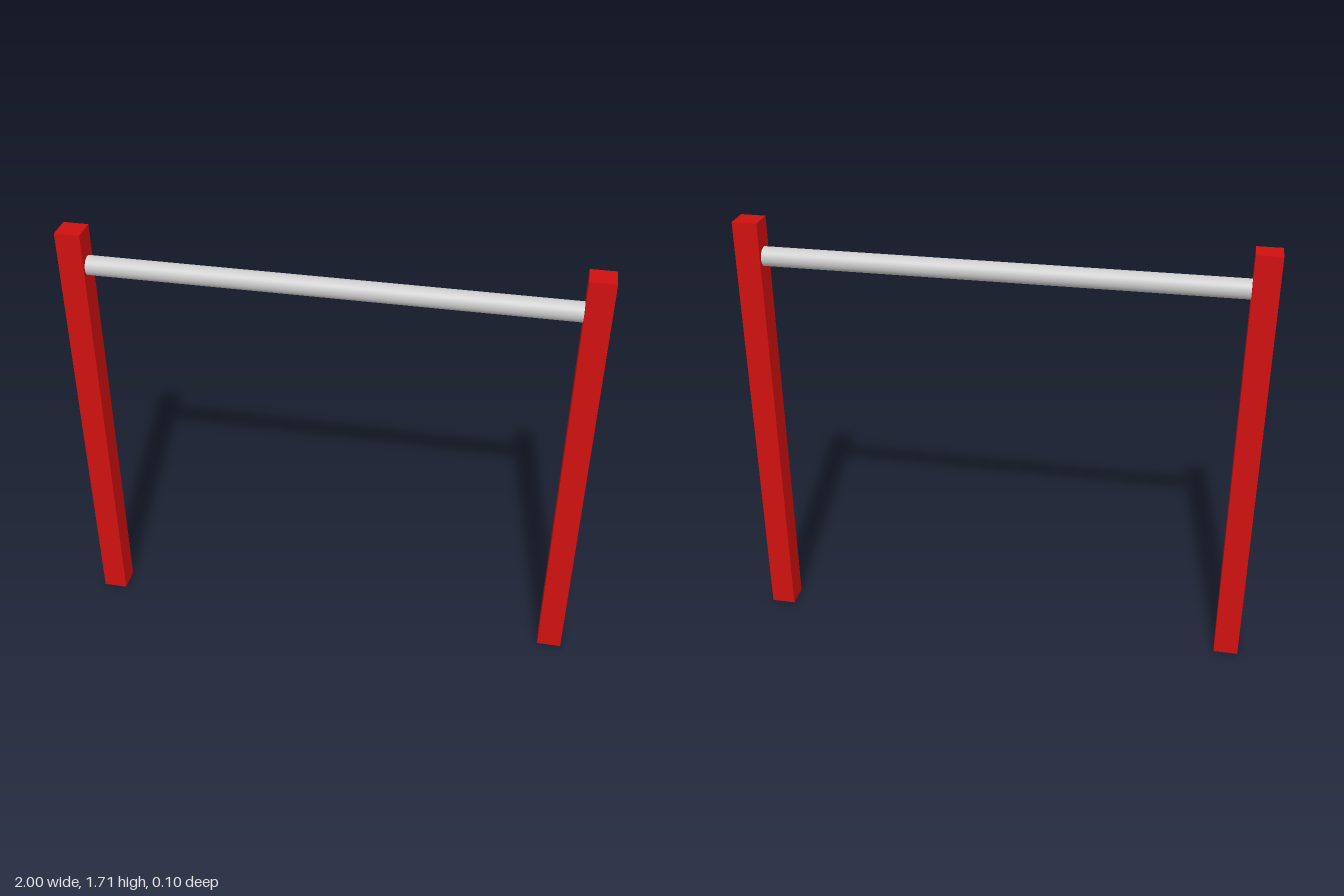
import * as THREE from 'three';

export function createModel() {
  const group = new THREE.Group();
  const red = new THREE.MeshStandardMaterial({ color: 0xd01010 });
  const grey = new THREE.MeshStandardMaterial({ color: 0xcccccc });

  const postWidth = 0.096;
  const postHeight = 1.714;
  const postX = 1 - postWidth / 2;

  // Two square uprights, mirrored about the centre
  const postGeometry = new THREE.BoxGeometry(postWidth, postHeight, postWidth);
  for (const [name, side] of [['leftPost', 1], ['rightPost', -1]]) {
    const post = new THREE.Mesh(postGeometry, red);
    post.name = name;
    post.position.set(side * postX, postHeight / 2, 0);
    group.add(post);
  }

  // Round bar spanning between the inner faces of the posts
  const barLength = 2 * (1 - postWidth);
  const bar = new THREE.Mesh(new THREE.CylinderGeometry(0.037, 0.037, barLength, 32), grey);
  bar.name = 'crossbar';
  bar.rotation.z = Math.PI / 2;
  bar.position.y = 1.572;
  group.add(bar);

  return group;
}
